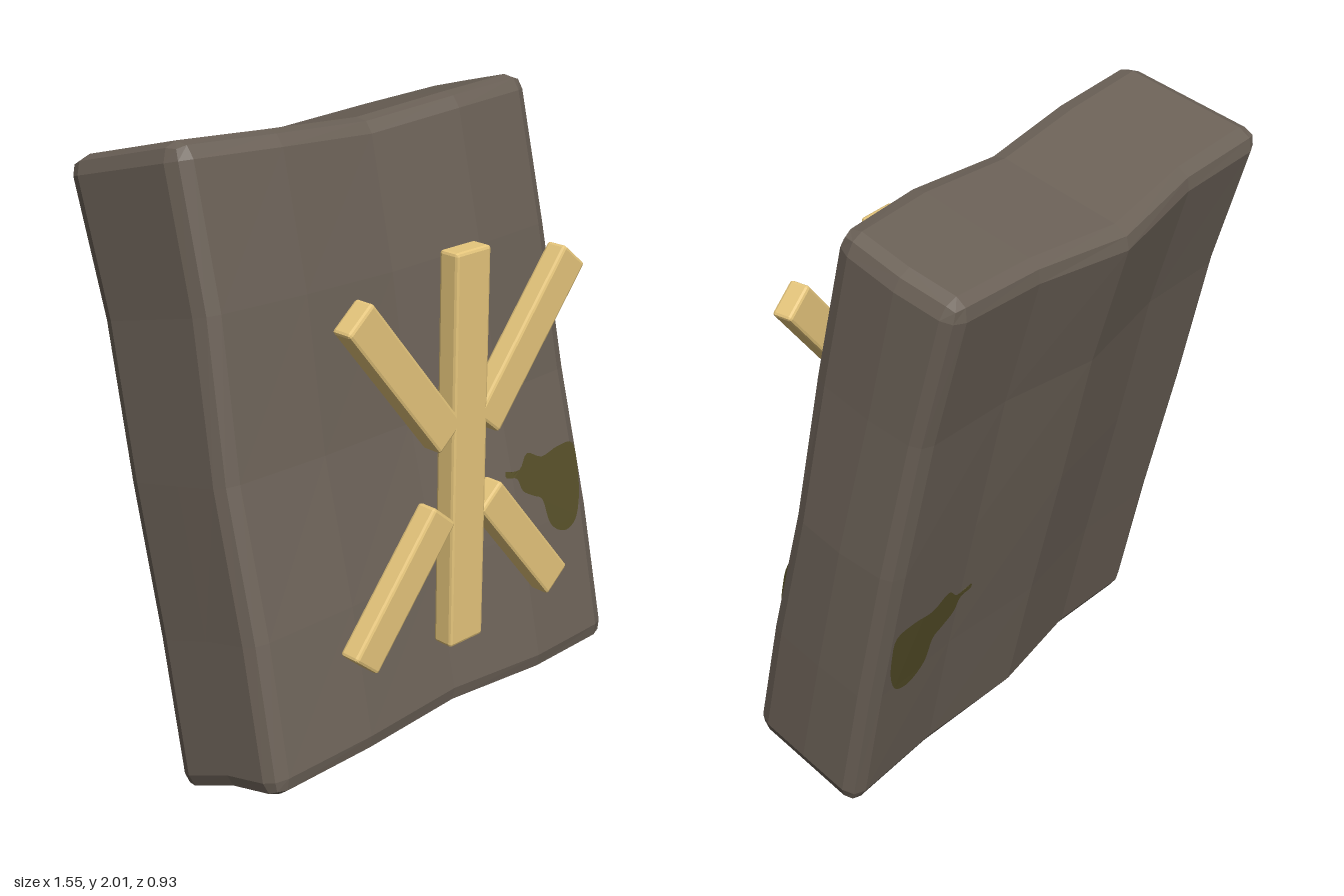
import * as THREE from 'three';
import { RoundedBoxGeometry } from 'three/addons/geometries/RoundedBoxGeometry.js';

const TILT = 0.223;                          // the slab leans back
const HX = 0.755, HY = 0.952, HZ = 0.235;    // slab half sizes
const BEVEL = 0.056;

// Five evenly spaced values across -1..1, joined by straight lines
function sample(table, t) {
  const f = THREE.MathUtils.clamp((t + 1) * 2, 0, 4);
  const i = Math.min(3, Math.floor(f));
  return THREE.MathUtils.lerp(table[i], table[i + 1], f - i);
}

// Unevenness of the hewn faces, each with one twisted half
const frontOffset = (u, v) =>
  sample([-0.015, 0.004, -0.012, 0.012, -0.018], u) +
  sample([0, 0, -0.016, 0.01, 0.012], v) + 0.018 * Math.max(-u, 0) * v;
const backOffset = (u, v) =>
  sample([-0.012, 0.01, -0.03, 0.02, 0.032], u) +
  sample([0.006, 0.01, 0.008, 0.01, -0.014], v) + 0.018 * Math.max(u, 0) * v;

function slabGeometry() {
  const geo = new THREE.BoxGeometry(1, 1, 1, 6, 6, 4);
  const pos = geo.attributes.position;
  // Grid lines: outer edge, bevel line, then the broad faces
  const lines = (half, inner) => {
    const e = half - BEVEL;
    return [-half, -e, ...inner.map((f) => f * half), e, half];
  };
  const gx = lines(HX, [-0.5, 0, 0.5]);
  const gy = lines(HY, [-0.5, 0, 0.5]);
  const gz = lines(HZ, [0]);
  const p = new THREE.Vector3(), core = new THREE.Vector3();
  const lim = new THREE.Vector3(HX - BEVEL, HY - BEVEL, HZ - BEVEL);
  const low = lim.clone().negate();
  for (let i = 0; i < pos.count; i++) {
    p.set(
      gx[Math.round((pos.getX(i) + 0.5) * 6)],
      gy[Math.round((pos.getY(i) + 0.5) * 6)],
      gz[Math.round((pos.getZ(i) + 0.5) * 4)]
    );
    // Round the edges
    core.copy(p).clamp(low, lim);
    p.sub(core).normalize().multiplyScalar(BEVEL).add(core);
    // Warp every face
    const u = p.x / HX, v = p.y / HY, w = p.z / HZ;
    p.z += w > 0 ? w * frontOffset(u, v) : -w * backOffset(u, v);
    p.y += (v > 0 ? 0.01 : 0.022) * w * Math.abs(v);
    p.y += v > 0
      ? v * sample([0.03, 0.006, -0.016, 0.006, 0.02], u)
      : -v * (sample([-0.025, -0.006, 0.012, -0.006, -0.012], u) + 0.022 * (1 - Math.abs(w)));
    p.x += u > 0
      ? u * (sample([-0.002, 0.004, 0.002, -0.022, -0.033], v) - 0.01 * w + 0.015 * (1 - Math.abs(w)))
      : -u * (sample([-0.01, 0, 0, 0.012, 0], v) + 0.013 * w);
    pos.setXYZ(i, p.x, p.y, p.z);
  }
  geo.computeVertexNormals();
  return geo;
}

// Moss stain laid on the front (side = 1) or back (side = -1) of the slab
function mossGeometry(side) {
  const outline = [
    [0.345, 0.805], [0.41, 0.795], [0.46, 0.835], [0.53, 0.805], [0.62, 0.815], [0.70, 0.805],
    [0.706, 0.72], [0.69, 0.63], [0.65, 0.56], [0.585, 0.543], [0.52, 0.585], [0.50, 0.67],
    [0.46, 0.695], [0.41, 0.725], [0.39, 0.77], [0.345, 0.785],
  ].map(([x, y]) => new THREE.Vector2(x, (y - 1.05) / 0.975));
  outline.push(outline[0].clone());
  const shape = new THREE.Shape(new THREE.SplineCurve(outline).getPoints(64));
  const geo = new THREE.ShapeGeometry(shape);
  const pos = geo.attributes.position;
  for (let i = 0; i < pos.count; i++) {
    const u = pos.getX(i) / HX, v = pos.getY(i) / HY;
    pos.setZ(i, side > 0 ? HZ + frontOffset(u, v) + 0.006 : -HZ + backOffset(u, v) - 0.006);
  }
  geo.computeVertexNormals();
  return geo;
}

export function createModel() {
  const stone = new THREE.MeshStandardMaterial({ color: 0x6b6157, flatShading: true });
  stone.name = 'stone';
  const gold = new THREE.MeshStandardMaterial({ color: 0xe6c67c, flatShading: true });
  gold.name = 'paleGold';
  const moss = new THREE.MeshStandardMaterial({
    color: 0x554e28, flatShading: true, side: THREE.DoubleSide,
  });
  moss.name = 'moss';

  const model = new THREE.Group();
  model.name = 'carvedStone';
  const add = (parent, name, geo, mat) => {
    const mesh = new THREE.Mesh(geo, mat);
    mesh.name = name;
    parent.add(mesh);
    return mesh;
  };

  // Leaning slab with its moss stains
  const leaning = new THREE.Group();
  leaning.name = 'leaningSlab';
  leaning.rotation.x = -TILT;
  leaning.position.y = 0.998;
  model.add(leaning);
  add(leaning, 'slab', slabGeometry(), stone);
  add(leaning, 'frontMoss', mossGeometry(1), moss);
  add(leaning, 'backMoss', mossGeometry(-1), moss);

  // Upright sign standing in front of the slab
  const sign = new THREE.Group();
  sign.name = 'sign';
  sign.position.set(-0.008, 0, 0.427);
  model.add(sign);
  const bar = (name, x1, y1, x2, y2, width) => {
    const length = Math.hypot(x2 - x1, y2 - y1);
    const mesh = add(sign, name, new RoundedBoxGeometry(width, length, 0.072, 1, 0.01), gold);
    mesh.position.set((x1 + x2) / 2, (y1 + y2) / 2, 0);
    mesh.rotation.z = -Math.atan2(x2 - x1, y2 - y1);
  };
  bar('signStem', 0, 0.395, 0, 1.655, 0.144);
  for (const [side, s] of [['left', 1], ['right', -1]]) {
    bar(side + 'UpperArm', s * 0.08, 1.093, s * 0.452, 1.547, 0.122);
    bar(side + 'LowerArm', s * 0.428, 0.459, s * 0.1, 0.852, 0.118);
  }
  return model;
}
